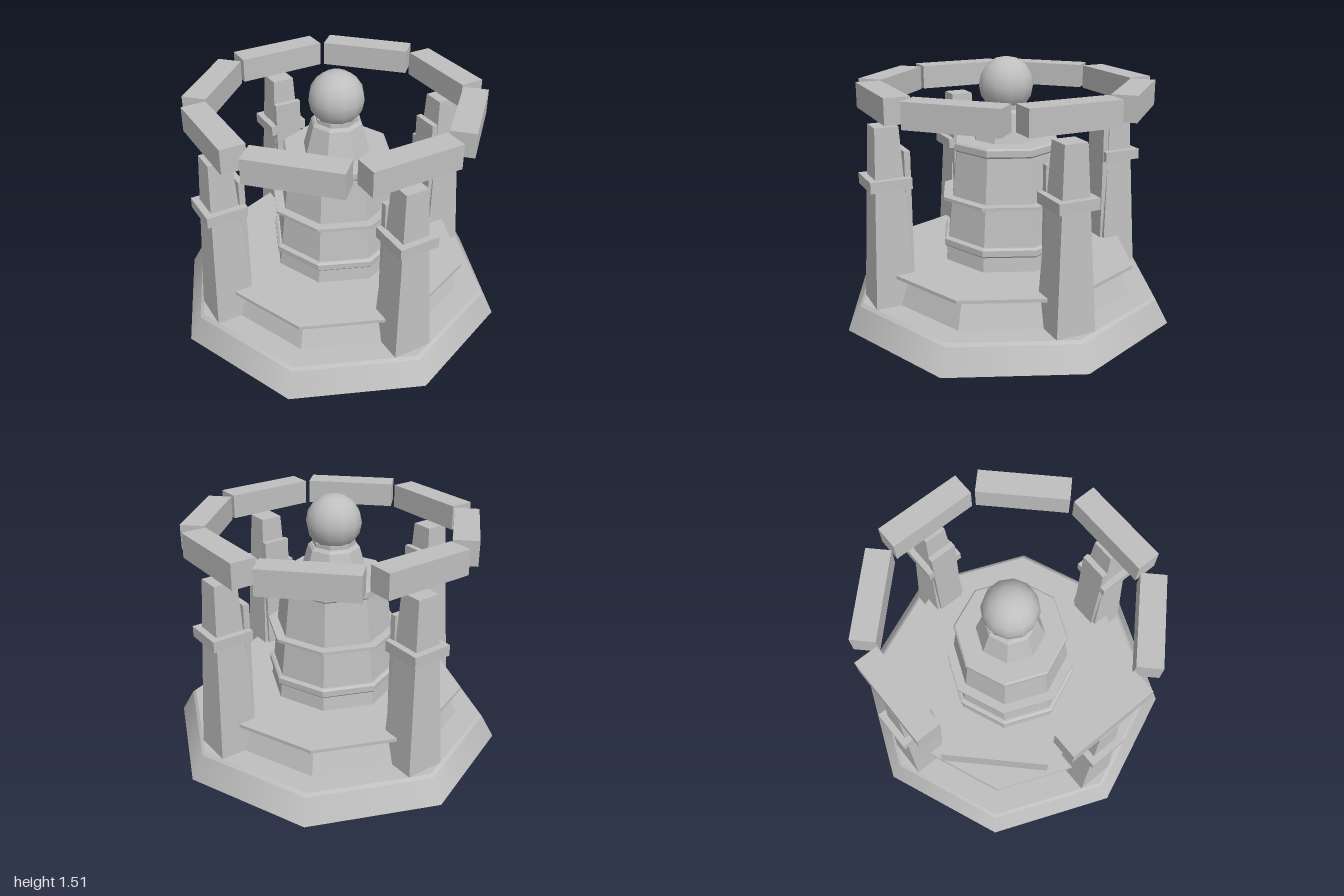
import * as THREE from 'three';

const stone = new THREE.MeshStandardMaterial({ color: 0xbfbfbf });
stone.name = 'grey stone';

// Give every face its own normal
function faceted(geometry) {
  const g = geometry.index ? geometry.toNonIndexed() : geometry;
  g.computeVertexNormals();
  return g;
}

// Eight-sided solid from a [radius, height] profile, bottom to top
function octagonal(profile) {
  return faceted(new THREE.LatheGeometry(profile.map(([r, y]) => new THREE.Vector2(r, y)), 8));
}

export function createModel() {
  const model = new THREE.Group();
  model.name = 'bellShrine';

  function add(parent, name, geometry, x = 0, y = 0, z = 0) {
    const mesh = new THREE.Mesh(geometry, stone);
    mesh.name = name;
    mesh.position.set(x, y, z);
    parent.add(mesh);
    return mesh;
  }

  // Base with a softly shaded sloping rim
  add(model, 'baseUnderside', new THREE.CircleGeometry(1, 8).rotateX(Math.PI / 2));
  add(model, 'baseSlope', new THREE.CylinderGeometry(0.925, 1, 0.135, 8, 1, true), 0, 0.0675, 0);
  add(model, 'baseTop', new THREE.CylinderGeometry(0.905, 0.925, 0.015, 8), 0, 0.1425, 0);

  // Raised step with its thin overhanging slab
  add(model, 'step', octagonal([[0, 0.14], [0.765, 0.14], [0.7, 0.32], [0, 0.32]]));
  add(model, 'stepSlab', octagonal([[0, 0.313], [0.78, 0.313], [0.78, 0.333], [0, 0.333]]));

  // Bell body and its bands
  add(model, 'bellBody', octagonal([[0, 0.32], [0.39, 0.33], [0.375, 0.46], [0.31, 1.0], [0, 1.0]]));
  add(model, 'lowerBand', octagonal([
    [0.36, 0.42], [0.39, 0.42], [0.4, 0.43], [0.4, 0.465], [0.385, 0.475], [0.35, 0.475]]));
  add(model, 'middleBand', octagonal([[0.3, 0.703], [0.4, 0.703], [0.4, 0.721], [0.3, 0.721]]));
  add(model, 'upperBand', octagonal([
    [0.29, 0.982], [0.315, 0.982], [0.325, 0.992], [0.325, 1.028], [0.315, 1.038], [0, 1.038]]));
  add(model, 'crown', octagonal([[0, 1.03], [0.2, 1.03], [0.15, 1.205], [0.135, 1.22], [0, 1.22]]));
  add(model, 'neck', octagonal([[0, 1.21], [0.125, 1.21], [0.125, 1.245], [0, 1.245]]));
  add(model, 'finial', new THREE.SphereGeometry(0.16, 12, 8), 0, 1.35, 0);

  // Four tapered pillars on the diagonals, each with a collar and an inner fin
  const pillarGeometry = faceted(new THREE.CylinderGeometry(0.095, 0.165, 1.04, 4));
  pillarGeometry.rotateY(Math.PI / 4);
  const collarGeometry = new THREE.BoxGeometry(0.237, 0.062, 0.237);
  const finGeometry = new THREE.BoxGeometry(0.17, 0.71, 0.035);
  for (let i = 0; i < 4; i++) {
    const pillar = new THREE.Group();
    pillar.name = 'pillar' + (i + 1);
    pillar.rotation.y = Math.PI / 4 + i * Math.PI / 2;
    add(pillar, 'shaft', pillarGeometry, 0, 0.66, 0.742);
    add(pillar, 'collar', collarGeometry, 0, 0.865, 0.742);
    add(pillar, 'innerFin', finGeometry, 0, 0.685, 0.638);
    model.add(pillar);
  }

  // Floating ring of eight separate blocks
  const ring = new THREE.Group();
  ring.name = 'floatingRing';
  const blockGeometry = new THREE.BoxGeometry(0.53, 0.143, 0.142);
  for (let i = 0; i < 8; i++) {
    const a = i * Math.PI / 4;
    add(ring, 'ringBlock' + (i + 1), blockGeometry, 0.74 * Math.sin(a), 1.306, 0.74 * Math.cos(a)).rotation.y = a;
  }
  model.add(ring);

  return model;
}
